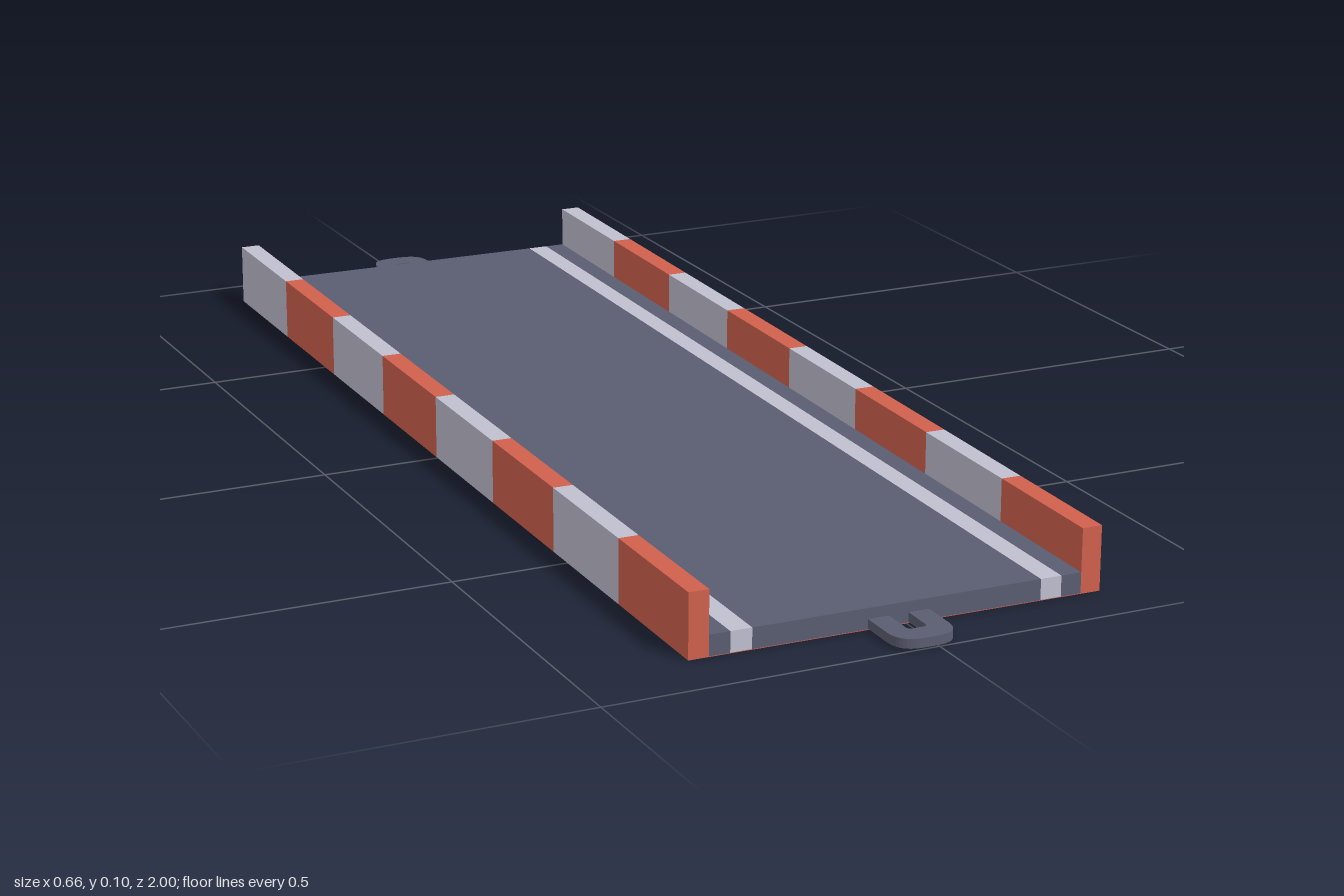
import * as THREE from 'three';

const HALF_W = 0.316, HALF_L = 0.908, RAIL_W = 0.0305, RAIL_H = 0.097;
const DECK_H = 0.032, SKIN = 0.001;

function material(name, color) {
  const m = new THREE.MeshStandardMaterial({ color });
  m.name = name;
  return m;
}

export function createModel() {
  const slate = material('slate', 0x5a5d70);
  const red = material('red', 0xd0604d);
  const white = material('paleGrey', 0xc0bfcf);

  const model = new THREE.Group();
  model.name = 'trackSection';
  const add = (name, geometry, mat) => {
    const mesh = new THREE.Mesh(geometry, mat);
    mesh.name = name;
    model.add(mesh);
    return mesh;
  };

  // Red and pale blocks: both kerbs joined by a thin painted underside
  const inner = HALF_W - RAIL_W;
  const channel = new THREE.Shape([
    [-HALF_W, 0], [HALF_W, 0], [HALF_W, RAIL_H], [inner, RAIL_H],
    [inner, SKIN], [-inner, SKIN], [-inner, RAIL_H], [-HALF_W, RAIL_H],
  ].map(([x, y]) => new THREE.Vector2(x, y)));
  const count = 8, step = (2 * HALF_L) / count;
  const block = new THREE.ExtrudeGeometry(channel, { depth: step, bevelEnabled: false });
  for (let i = 0; i < count; i++) {
    add('kerbBlock' + (i + 1), block, i % 2 ? white : red).position.z = HALF_L - (i + 1) * step;
  }

  // Deck strips across the width, with a pale lane line near each kerb
  const edges = [-inner, -0.254, -0.2215, 0.2215, 0.254, inner];
  for (let i = 0; i < edges.length - 1; i++) {
    const isLine = i % 2 === 1;
    const strip = new THREE.BoxGeometry(edges[i + 1] - edges[i], DECK_H - SKIN, 2 * HALF_L);
    add(isLine ? 'laneLine' : 'deck', strip, isLine ? white : slate)
      .position.set((edges[i] + edges[i + 1]) / 2, (DECK_H + SKIN) / 2, 0);
  }

  // Flat connecting loop at each end, rounded at the tip
  const arch = (path, w, base, tip, r) => path
    .moveTo(-w, base).lineTo(w, base).lineTo(w, tip - r)
    .quadraticCurveTo(w, tip, w - r, tip)
    .lineTo(-w + r, tip)
    .quadraticCurveTo(-w, tip, -w, tip - r)
    .lineTo(-w, base);
  const loop = arch(new THREE.Shape(), 0.047, HALF_L - 0.02, 1, 0.038);
  loop.holes.push(arch(new THREE.Path(), 0.015, HALF_L - 0.01, 0.963, 0.008));
  const loopGeometry = new THREE.ExtrudeGeometry(loop, {
    depth: 0.014, bevelEnabled: false, curveSegments: 10,
  });
  loopGeometry.rotateX(Math.PI / 2).translate(0, 0.016, 0);
  add('frontLoop', loopGeometry, slate);
  add('backLoop', loopGeometry, slate).rotation.y = Math.PI;

  // The whole section lies slightly askew
  model.rotation.y = -0.0135;
  return model;
}
